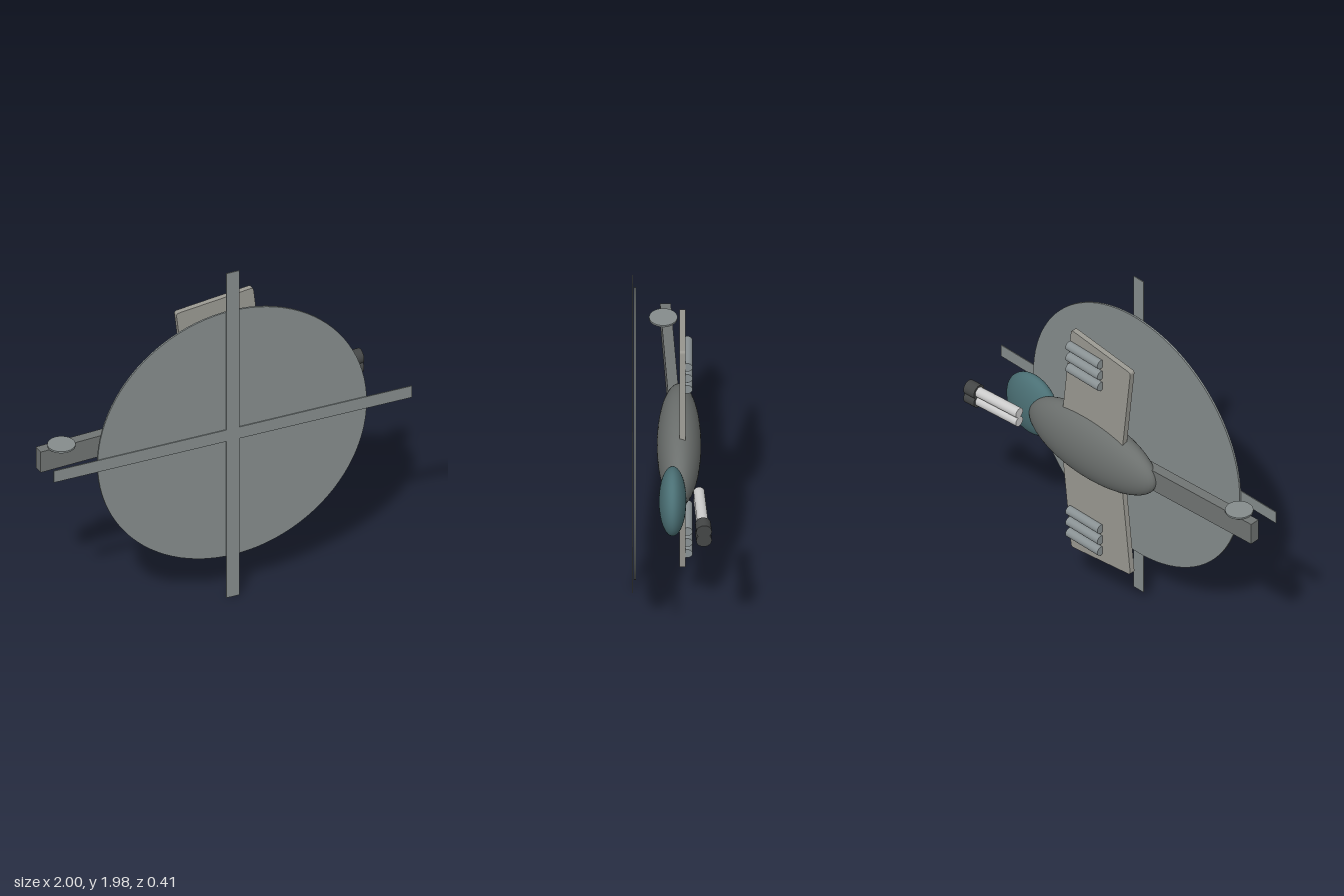
import * as THREE from 'three';

const CY = 0.99; // height of the fuselage axis

function createModel() {
  const model = new THREE.Group();
  const paint = (color) => new THREE.MeshStandardMaterial({ color });
  const hull = paint(0x6c706e), glass = paint(0x4b7075), wingPaint = paint(0x9a9992);
  const rotorPaint = paint(0x858c8c), podPaint = paint(0x8a9294);
  const barrelPaint = paint(0xd4d4d4), dark = paint(0x444646), boomPaint = paint(0x707473);

  const add = (name, geometry, material, x, y, z, parent = model) => {
    const mesh = new THREE.Mesh(geometry, material);
    mesh.name = name;
    mesh.position.set(x, y, z);
    parent.add(mesh);
    return mesh;
  };
  const ellipsoid = (rx, ry, rz) => new THREE.SphereGeometry(1, 48, 32).scale(rx, ry, rz);
  const rodX = (r, length) => new THREE.CylinderGeometry(r, r, length, 24).rotateZ(-Math.PI / 2);

  // Fuselage and cockpit
  add('fuselage', ellipsoid(0.45, 0.195, 0.113), hull, 0.1, CY, -0.037);
  add('cockpit', ellipsoid(0.175, 0.18, 0.07), glass, 0.57, CY, -0.004);

  // Tail boom, slightly inclined, with the tail rotor on its upper side
  const boom = add('tailBoom', new THREE.BoxGeometry(0.85, 0.125, 0.055), boomPaint, -0.574, CY + 0.005, 0.009);
  boom.rotation.y = 0.054;
  add('tailRotor', new THREE.CylinderGeometry(0.072, 0.072, 0.01, 40), rotorPaint, -0.875, CY + 0.071, 0.043);

  // Main rotor disc and crossed blades
  add('rotorDisc', new THREE.CylinderGeometry(0.745, 0.745, 0.01, 96).rotateX(Math.PI / 2), rotorPaint, 0.007, CY + 0.003, 0.187);
  add('rotorBladeAcross', new THREE.BoxGeometry(1.985, 0.07, 0.005), rotorPaint, 0.007, CY, 0.199);
  add('rotorBladeUpright', new THREE.BoxGeometry(0.07, 1.98, 0.005), rotorPaint, 0.007, CY, 0.199);

  // Swept wing plan with rounded tip corners, rotated by the sweep angle
  const chord = 0.43, span = 0.66, r = 0.015, h = chord / 2;
  const plan = new THREE.Shape();
  plan.moveTo(-h, 0);
  plan.lineTo(h, 0);
  plan.lineTo(h, span - r);
  plan.quadraticCurveTo(h, span, h - r, span);
  plan.lineTo(-h + r, span);
  plan.quadraticCurveTo(-h, span, -h, span - r);
  plan.closePath();
  const wingGeometry = new THREE.ExtrudeGeometry(plan, { depth: 0.03, bevelEnabled: false, curveSegments: 5 });
  wingGeometry.rotateZ(0.113);

  for (const side of [1, -1]) {
    const wing = new THREE.Group();
    wing.name = side > 0 ? 'upperWing' : 'lowerWing';
    wing.position.set(0.085, CY, -0.055);
    if (side < 0) wing.rotation.x = Math.PI; // flips the wing to the opposite side
    model.add(wing);
    add('wingPanel', wingGeometry, wingPaint, 0, 0.011, -0.015, wing);
    // Three launcher tubes under each wing
    for (let i = 0; i < 3; i++) {
      add('launcherTube', rodX(0.026, 0.23), podPaint, 0.115, CY + side * (0.455 + i * 0.07), -0.08);
    }
  }

  // Twin gun beneath the nose
  const gun = new THREE.Group();
  gun.name = 'twinGun';
  gun.position.set(0.53, CY + 0.005, -0.138);
  gun.rotation.y = 0.076;
  model.add(gun);
  for (const side of [1, -1]) {
    add('gunBarrel', rodX(0.028, 0.28), barrelPaint, 0.14, side * 0.027, 0, gun);
    add('gunMuzzle', rodX(0.04, 0.07), dark, 0.307, side * 0.027, 0, gun);
  }

  return model;
}

export { createModel };
